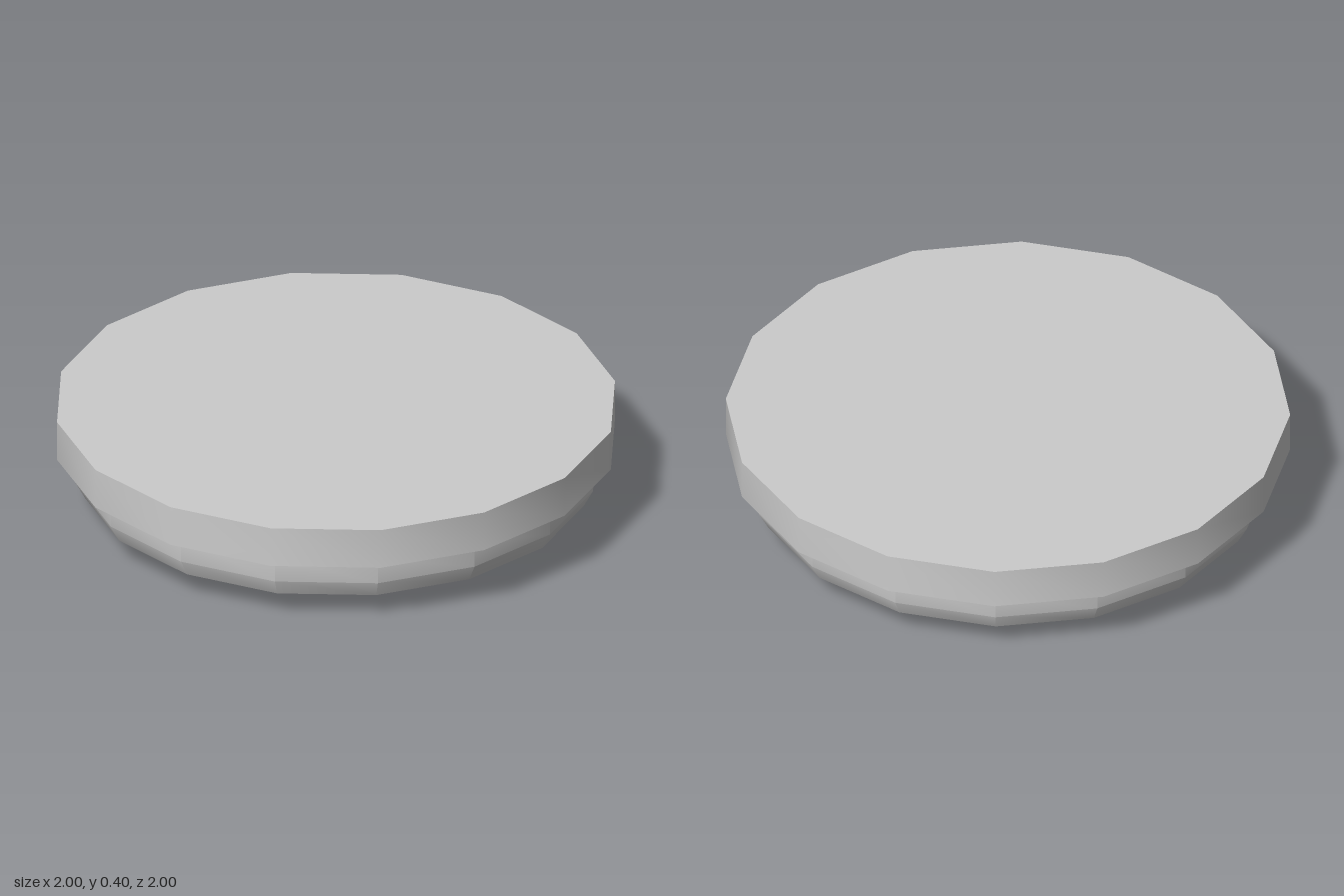
import * as THREE from 'three';
import { toCreasedNormals } from 'three/addons/utils/BufferGeometryUtils.js';

const SIDES = 16;
const CREASE = 0.6; // smooth around the sides, sharp at the rims

// Turns a [radius, height] profile, listed from bottom to top, into a named mesh
function turned(name, profile, material) {
  const points = profile.map(([r, y]) => new THREE.Vector2(r, y));
  const geometry = toCreasedNormals(new THREE.LatheGeometry(points, SIDES), CREASE);
  const mesh = new THREE.Mesh(geometry, material);
  mesh.name = name;
  return mesh;
}

export function createModel() {
  const model = new THREE.Group();
  model.name = 'roundDish';
  const grey = new THREE.MeshStandardMaterial({ color: 0xcccccc });

  // Shallow rounded body with a sharp edge between wall and underside
  model.add(turned('body', [
    [0, 0], [0.56, 0.005], [0.725, 0.03], [0.9, 0.09], [0.935, 0.155], [0.935, 0.25],
  ], grey));

  // Overhanging flat disc on top
  model.add(turned('topDisc', [
    [0.935, 0.25], [1, 0.25], [1, 0.4], [0, 0.4],
  ], grey));

  return model;
}
